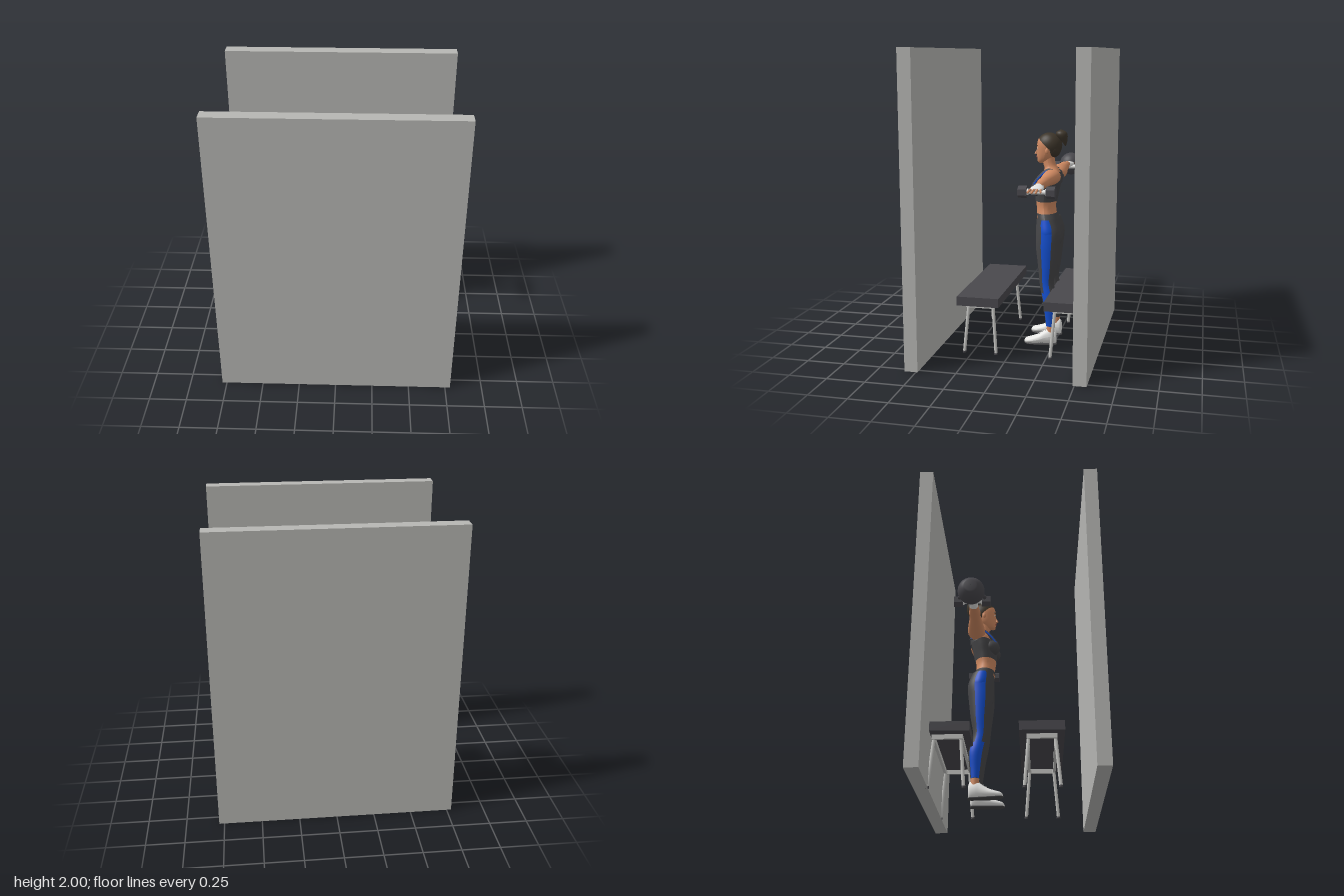
import * as THREE from 'three';
import { toCreasedNormals } from 'three/addons/utils/BufferGeometryUtils.js';

const mat = (name, color) => Object.assign(new THREE.MeshStandardMaterial({ color }), { name });

export function createModel() {
  const root = new THREE.Group();
  const M = {
    wall: mat('wall grey', 0xb6b6b3),
    charcoal: mat('charcoal', 0x49484d),
    leggings: mat('legging grey', 0x464648),
    metal: mat('pale metal', 0xc4c4c1),
    white: mat('white', 0xe4e4e2),
    skin: mat('skin', 0xd08a62),
    hair: mat('dark brown', 0x3d352a),
    blue: mat('blue', 0x1450d2),
    lips: mat('lip red', 0xa8524a),
  };

  function add(name, geo, m, x = 0, y = 0, z = 0, parent = root) {
    const mesh = new THREE.Mesh(geo, m);
    mesh.name = name;
    mesh.position.set(x, y, z);
    parent.add(mesh);
    return mesh;
  }
  const group = (name, parent = root) => {
    const g = new THREE.Group();
    g.name = name;
    parent.add(g);
    return g;
  };
  const box = (w, h, d) => new THREE.BoxGeometry(w, h, d);
  const ball = (rx, ry, rz) => new THREE.SphereGeometry(1, 24, 16).scale(rx, ry, rz);
  const V = (p) => new THREE.Vector3(...p);
  const tube = (pts, r, n = 8) =>
    new THREE.TubeGeometry(new THREE.CatmullRomCurve3(pts.map(V)), pts.length * 6, r, n);

  // Smooth loft of ellipses along y; each row is [y, centre x, centre z, radius x, radius z]
  function loft(rows, { a0 = 0, a1 = Math.PI * 2, grow = 0, n = 24 } = {}) {
    const C = new THREE.CatmullRomCurve3(rows.map((r) => V([r[1], r[0], r[2]])), false, 'catmullrom');
    const R = new THREE.CatmullRomCurve3(rows.map((r) => V([r[3], r[4], 0])), false, 'catmullrom');
    const steps = (rows.length - 1) * 4, pos = [], idx = [];
    for (let i = 0; i <= steps; i++) {
      const c = C.getPoint(i / steps), r = R.getPoint(i / steps);
      for (let j = 0; j <= n; j++) {
        const a = a0 + ((a1 - a0) * j) / n;
        pos.push(c.x + (r.x + grow) * Math.cos(a), c.y, c.z + (r.y + grow) * Math.sin(a));
        if (i < steps && j < n) {
          const k = i * (n + 1) + j, up = k + n + 1;
          idx.push(k, up, k + 1, k + 1, up, up + 1);
        }
      }
    }
    const g = new THREE.BufferGeometry();
    g.setAttribute('position', new THREE.Float32BufferAttribute(pos, 3));
    g.setIndex(idx);
    g.computeVertexNormals();
    return g;
  }

  // Walls
  for (const [name, z] of [['frontWall', 0.532], ['backWall', -0.532]])
    add(name, box(1.565, 2, 0.086), M.wall, 0.002, 1, z);

  // Benches: padded seat, pale frame and four splayed legs
  for (const [name, z] of [['frontBench', 0.194], ['backBench', -0.385]]) {
    const b = group(name);
    b.position.set(0.005, 0, z);
    add('seat', box(0.87, 0.06, 0.28), M.charcoal, 0, 0.37, 0, b);
    for (const s of [1, -1]) {
      add('frameRail', box(0.74, 0.03, 0.018), M.metal, 0, 0.326, s * 0.086, b);
      add('frameEnd', box(0.018, 0.03, 0.19), M.metal, s * 0.361, 0.326, 0, b);
      for (const t of [1, -1]) {
        add('leg', tube([[s * 0.345, 0.33, t * 0.082], [s * 0.373, 0.01, t * 0.108]], 0.011), M.metal, 0, 0, 0, b);
        add('legFoot', new THREE.CylinderGeometry(0.012, 0.012, 0.012, 10), M.charcoal, s * 0.374, 0.006, t * 0.108, b);
      }
    }
  }

  // Torso
  const w = group('woman');
  w.position.x = 0.004;
  const put = (name, geo, m, x, y, z) => add(name, geo, m, x, y, z, w);
  put('torso', loft([
    [0.87, 0, -0.185, 0.118, 0.068], [0.94, 0, -0.178, 0.098, 0.064], [1.0, 0, -0.178, 0.102, 0.07],
    [1.08, 0, -0.19, 0.117, 0.073], [1.14, 0, -0.205, 0.125, 0.07], [1.18, 0, -0.213, 0.1, 0.056],
    [1.205, 0, -0.21, 0.052, 0.046], [1.235, 0, -0.197, 0.038, 0.042], [1.29, 0, -0.188, 0.037, 0.042]]), M.skin);
  put('sportsTop', loft([
    [0.985, 0, -0.178, 0.104, 0.072], [1.03, 0, -0.182, 0.111, 0.078],
    [1.08, 0, -0.189, 0.121, 0.081], [1.125, 0, -0.202, 0.126, 0.077]]), M.leggings).material.side = THREE.DoubleSide;
  put('backPanel', loft([[1.11, 0, -0.2, 0.118, 0.08], [1.15, 0, -0.21, 0.095, 0.074],
    [1.185, 0, -0.214, 0.078, 0.062]], { a0: Math.PI * 1.1, a1: Math.PI * 1.9, grow: 0.004 }), M.leggings);
  for (const s of [1, -1]) {
    put('bust', ball(0.058, 0.055, 0.062), M.leggings, s * 0.053, 1.072, -0.143);
    const strap = [[0.07, 1.1, -0.105], [0.074, 1.155, -0.148], [0.074, 1.196, -0.2], [0.074, 1.18, -0.255], [0.07, 1.13, -0.275]];
    put('strap', tube(strap.map(([x, y, z]) => [s * x, y, z]), 0.014), M.leggings);
    put('strapTrim', tube(strap.map(([x, y, z]) => [s * (x + 0.013), y, z]), 0.005, 6), M.blue);
  }

  // Leggings: hips, legs and blue side stripes
  put('hips', loft([
    [0.66, 0, -0.205, 0.02, 0.03], [0.7, 0, -0.205, 0.13, 0.078], [0.78, 0, -0.205, 0.149, 0.083],
    [0.85, 0, -0.198, 0.139, 0.076], [0.905, 0, -0.182, 0.108, 0.069]]), M.leggings);
  for (const s of [1, -1]) {
    const rows = [
      [0.135, 0.104, -0.229, 0.029, 0.03], [0.2, 0.104, -0.228, 0.034, 0.038], [0.3, 0.102, -0.226, 0.047, 0.05],
      [0.37, 0.098, -0.212, 0.047, 0.05], [0.44, 0.095, -0.2, 0.046, 0.049], [0.55, 0.088, -0.203, 0.06, 0.064],
      [0.68, 0.081, -0.203, 0.072, 0.08], [0.78, 0.078, -0.207, 0.073, 0.084], [0.87, 0.068, -0.193, 0.066, 0.07],
    ].map(([y, x, ...r]) => [y, s * x, ...r]);
    const mid = s > 0 ? 0 : Math.PI;
    put('leg', loft(rows), M.leggings);
    put('legStripe', loft(rows.slice(0, 8), { a0: mid - 0.42, a1: mid + 0.42, grow: 0.004, n: 8 }), M.blue);
    put('shinStripe', loft(rows.slice(0, 4), { a0: mid - 0.85, a1: mid + 0.85, grow: 0.003, n: 12 }), M.blue);
    put('hipStripe', loft([[0.76, 0, -0.205, 0.148, 0.083], [0.8, 0, -0.204, 0.149, 0.083], [0.87, 0, -0.193, 0.13, 0.073]],
      { a0: mid - 0.42, a1: mid + 0.42, grow: 0.006, n: 8 }), M.blue);
    put('ankle', new THREE.CylinderGeometry(0.026, 0.028, 0.08, 20), M.skin, s * 0.104, 0.115, -0.231);

    // Shoe, lofted heel to toe
    const shoe = group('shoe', w);
    shoe.position.set(s * 0.104, 0, -0.23);
    shoe.rotation.y = s * 0.1;
    const upper = loft([
      [-0.042, 0, -0.05, 0.002, 0.004], [-0.036, 0, -0.06, 0.024, 0.052], [0.0, 0, -0.063, 0.033, 0.055],
      [0.035, 0, -0.056, 0.034, 0.048], [0.08, 0, -0.041, 0.037, 0.033], [0.13, 0, -0.031, 0.038, 0.024],
      [0.165, 0, -0.026, 0.028, 0.018], [0.18, 0, -0.022, 0.002, 0.003]]);
    add('shoeUpper', upper, M.white, 0, 0, 0, shoe).rotation.x = Math.PI / 2;
    const sole = loft([
      [-0.044, 0, -0.008, 0.002, 0.004], [-0.036, 0, -0.008, 0.027, 0.008], [0.03, 0, -0.008, 0.034, 0.008],
      [0.12, 0, -0.009, 0.039, 0.008], [0.165, 0, -0.012, 0.03, 0.008], [0.183, 0, -0.014, 0.002, 0.003]]);
    add('shoeSole', sole, M.leggings, 0, 0, 0, shoe).rotation.x = Math.PI / 2;
    for (let i = 0; i < 3; i++)
      add('lace', box(0.03, 0.004, 0.006), M.metal, 0, 0.105 - i * 0.014, 0.032 + i * 0.021, shoe).rotation.x = 0.5;

    // Arm, stretched sideways
    const arm = loft([
      [0.06, 0, -0.228, 0.035, 0.05], [0.11, 0, -0.236, 0.048, 0.058], [0.17, 0, -0.236, 0.048, 0.056],
      [0.25, 0, -0.234, 0.041, 0.047], [0.34, 0, -0.231, 0.034, 0.037], [0.4, 0, -0.23, 0.034, 0.037],
      [0.47, 0, -0.229, 0.027, 0.029], [0.54, 0, -0.229, 0.021, 0.024]]);
    const armMesh = put('arm', arm, M.skin, 0, 1.163, 0);
    armMesh.rotation.z = -s * Math.PI / 2;
    const glove = loft([
      [0.5, 0, -0.229, 0.024, 0.028], [0.53, 0, -0.229, 0.023, 0.028], [0.565, 0, -0.23, 0.02, 0.038],
      [0.6, 0, -0.23, 0.018, 0.041], [0.625, 0, -0.23, 0.014, 0.037], [0.632, 0, -0.23, 0.002, 0.02]]);
    put('glove', glove, M.white, 0, 1.158, 0).rotation.z = -s * Math.PI / 2;
    [[0.666, 0.006], [0.686, 0.007], [0.69, 0.007], [0.68, 0.007]].forEach(([len, r], i) => {
      const z = -0.26 + i * 0.02, tip = z + (i - 1.5) * 0.005;
      put('finger', tube([[s * 0.615, 1.158, z], [s * 0.65, 1.156, (z + tip) / 2], [s * len, 1.149, tip]], r), M.skin);
      put('fingertip', ball(r, r, r), M.skin, s * len, 1.149, tip);
    });
    put('thumb', tube([[s * 0.56, 1.152, -0.2], [s * 0.59, 1.142, -0.187], [s * 0.62, 1.135, -0.188]], 0.009), M.skin);

    // Dumbbell with six-sided heads
    const d = group('dumbbell');
    d.position.set(s * 0.592, 1.137, -0.229);
    add('bar', new THREE.CylinderGeometry(0.014, 0.014, 0.15, 16).rotateX(Math.PI / 2), M.white, 0, 0, 0, d);
    for (const t of [1, -1]) {
      const hex = new THREE.CylinderGeometry(0.038, 0.038, 0.054, 6).rotateX(Math.PI / 2);
      add('weight', toCreasedNormals(hex, 0.5), M.charcoal, 0, 0, t * 0.087, d);
      add('collar', new THREE.CylinderGeometry(0.02, 0.02, 0.01, 16).rotateX(Math.PI / 2), M.white, 0, 0, t * 0.057, d);
    }
  }

  // Head: skull, jaw, face, hair and ponytail
  put('face', loft([
    [1.238, 0, -0.14, 0.008, 0.01], [1.25, 0, -0.152, 0.03, 0.036], [1.28, 0, -0.17, 0.049, 0.057],
    [1.32, 0, -0.178, 0.059, 0.066], [1.37, 0, -0.184, 0.063, 0.071], [1.41, 0, -0.188, 0.05, 0.058],
    [1.435, 0, -0.19, 0.004, 0.004]]), M.skin);
  put('nose', new THREE.ConeGeometry(0.011, 0.04, 12), M.skin, 0, 1.318, -0.11).rotation.x = -0.3;
  put('lips', ball(0.017, 0.007, 0.006), M.lips, 0, 1.28, -0.113);
  const hair = new THREE.SphereGeometry(1, 32, 20, 0, Math.PI * 2, 0, Math.PI * 0.54).rotateX(-0.75).scale(0.07, 0.084, 0.086);
  put('hair', hair, M.hair, 0, 1.36, -0.196);
  put('hairBack', ball(0.06, 0.062, 0.05), M.hair, 0, 1.34, -0.226);
  put('ponytail', loft([
    [1.355, 0, -0.305, 0.003, 0.003], [1.385, 0, -0.298, 0.018, 0.018], [1.425, 0, -0.281, 0.034, 0.038],
    [1.45, 0, -0.276, 0.028, 0.033], [1.466, 0, -0.275, 0.002, 0.002]]), M.hair);
  for (const s of [1, -1]) {
    put('ear', ball(0.008, 0.02, 0.012), M.skin, s * 0.062, 1.325, -0.19);
    put('eye', ball(0.012, 0.006, 0.004), M.white, s * 0.026, 1.338, -0.119);
    put('iris', ball(0.005, 0.006, 0.004), M.hair, s * 0.026, 1.338, -0.117);
    put('eyebrow', box(0.026, 0.005, 0.006), M.hair, s * 0.027, 1.357, -0.118).rotation.y = s * 0.3;
  }

  // Kettlebell held sideways, with a flat base and looped handle
  const k = group('kettlebell');
  const profile = [[0.001, -0.076], [0.036, -0.076], [0.045, -0.07]].map((p) => new THREE.Vector2(...p));
  for (let i = 1; i <= 14; i++) {
    const a = -1.0 + (i / 14) * (Math.PI / 2 + 1.0);
    profile.push(new THREE.Vector2(Math.max(0.083 * Math.cos(a), 0.0001), 0.083 * Math.sin(a)));
  }
  add('bell', new THREE.LatheGeometry(profile, 28).rotateZ(-Math.PI / 2), M.charcoal, -0.714, 1.143, -0.229, k);
  add('handle', tube([[-0.66, 1.143, -0.17], [-0.635, 1.143, -0.15], [-0.607, 1.143, -0.17],
    [-0.597, 1.143, -0.229], [-0.607, 1.143, -0.288], [-0.635, 1.143, -0.308], [-0.66, 1.143, -0.288]], 0.011), M.charcoal, 0, 0, 0, k);

  return root;
}
